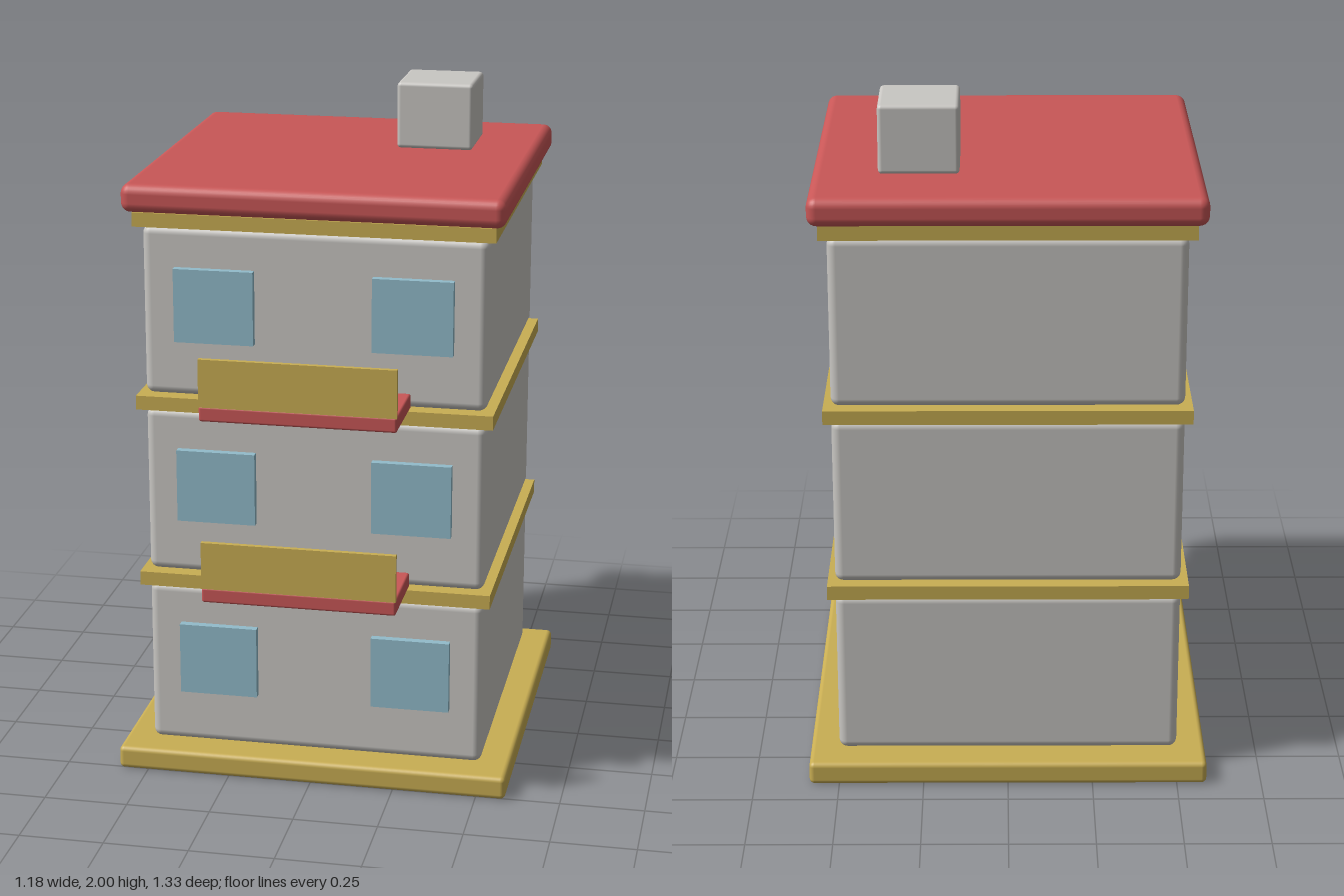
import * as THREE from 'three';
import { RoundedBoxGeometry } from 'three/addons/geometries/RoundedBoxGeometry.js';

const material = (name, color) => {
  const m = new THREE.MeshStandardMaterial({ color });
  m.name = name;
  return m;
};

export function createModel() {
  const wall = material('wallGrey', 0xc9c7c3);
  const trim = material('trimGold', 0xc9ae53);
  const red = material('roofRed', 0xc95757);
  const glass = material('windowBlue', 0x92bccb);

  const building = new THREE.Group();
  building.name = 'apartmentBuilding';

  // Box given by its x, y and z ranges, with optional rounded edges
  function box(parent, name, mat, [x0, x1], [y0, y1], [z0, z1], radius = 0) {
    const size = [x1 - x0, y1 - y0, z1 - z0];
    const geometry = radius
      ? new RoundedBoxGeometry(...size, 3, radius)
      : new THREE.BoxGeometry(...size);
    const mesh = new THREE.Mesh(geometry, mat);
    mesh.name = name;
    mesh.position.set((x0 + x1) / 2, (y0 + y1) / 2, (z0 + z1) / 2);
    parent.add(mesh);
  }

  // Ground plinth
  box(building, 'plinth', trim, [-0.588, 0.588], [0, 0.07], [-0.664, 0.512], 0.015);

  // Three identical storeys
  const pitch = 0.548;
  for (let i = 0; i < 3; i++) {
    const storey = new THREE.Group();
    storey.name = `storey${i + 1}`;
    storey.position.y = 0.073 + i * pitch;
    building.add(storey);

    box(storey, 'walls', wall, [-0.503, 0.503], [0, 0.504], [-0.579, 0.427], 0.025);
    box(storey, 'cornice', trim, [-0.525, 0.525], [0.504, 0.546], [-0.601, 0.45]);

    // Window pair
    for (const side of [-1, 1]) {
      const x = side * 0.29;
      box(storey, side > 0 ? 'leftWindow' : 'rightWindow', glass,
        [x - 0.117, x + 0.117], [0.167, 0.385], [0.41, 0.45]);
    }

    // Balcony on the upper storeys
    if (i > 0) {
      box(storey, 'balconyFloor', red, [-0.284, 0.284], [0.001, 0.046], [0.427, 0.664], 0.007);
      box(storey, 'balconyRailing', trim, [-0.284, 0.284], [0.043, 0.184], [0.649, 0.664]);
    }
  }

  // Roof slab and rooftop block
  box(building, 'roof', red, [-0.554, 0.554], [1.717, 1.8], [-0.631, 0.477], 0.028);
  box(building, 'chimney', wall, [0.135, 0.365], [1.8, 2], [-0.396, -0.166], 0.012);

  return building;
}
